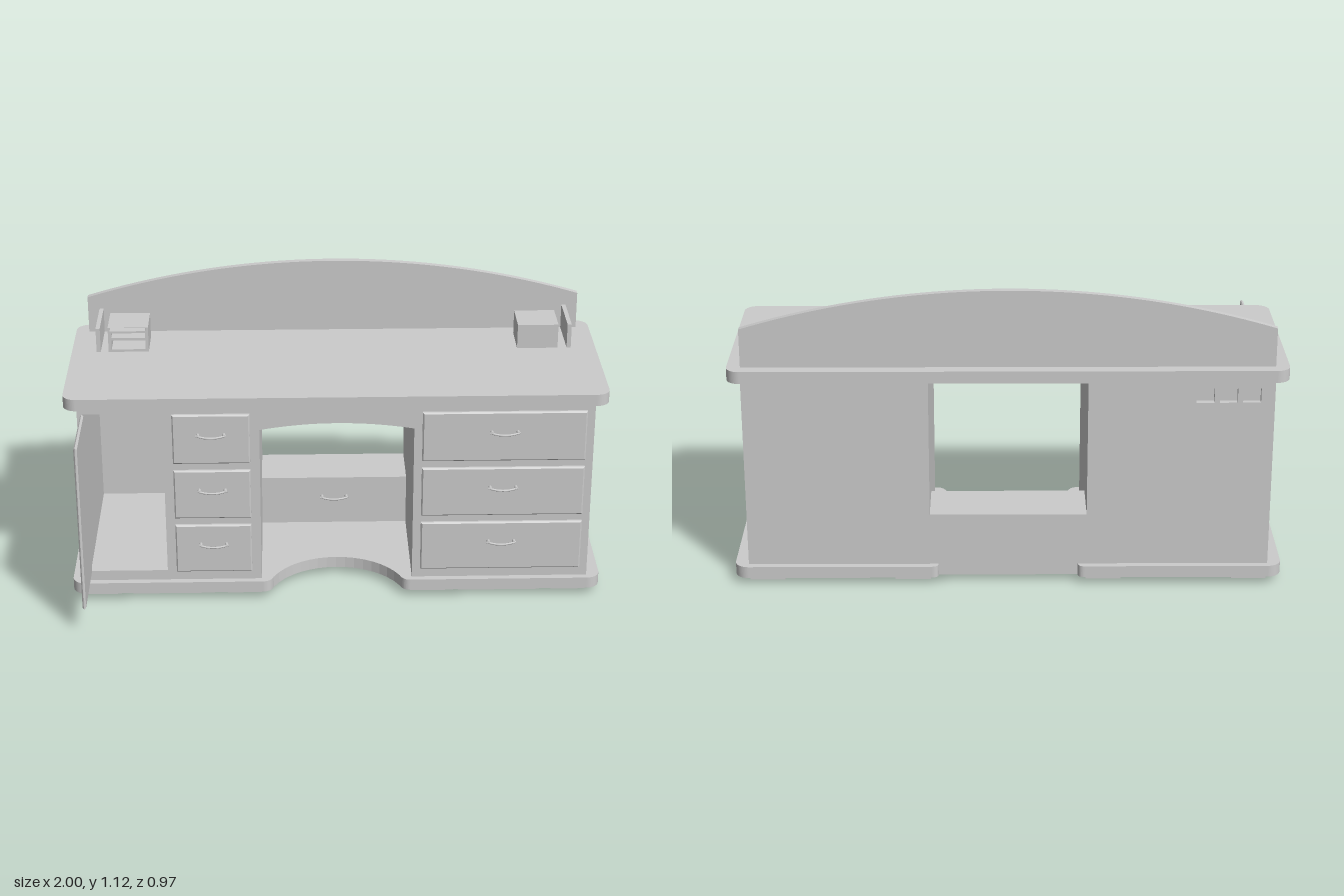
import * as THREE from 'three';

const material = new THREE.MeshStandardMaterial({ color: 0xcccccc, side: THREE.DoubleSide });

export function createModel() {
  const desk = new THREE.Group();
  desk.name = 'desk';

  const add = (name, geometry, parent = desk) => {
    const mesh = new THREE.Mesh(geometry, material);
    mesh.name = name;
    parent.add(mesh);
    return mesh;
  };
  // Box given by its limits on each axis
  const box = (name, x0, x1, y0, y1, z0, z1, parent) => {
    const g = new THREE.BoxGeometry(x1 - x0, y1 - y0, z1 - z0);
    g.translate((x0 + x1) / 2, (y0 + y1) / 2, (z0 + z1) / 2);
    return add(name, g, parent);
  };
  const extrude = (shape, depth, curveSegments = 16) =>
    new THREE.ExtrudeGeometry(shape, { depth, bevelEnabled: false, curveSegments });
  // Slab from a plan outline (outline y is -z), raised between two heights
  const slab = (name, shape, y0, y1) =>
    add(name, extrude(shape, y1 - y0).rotateX(-Math.PI / 2).translate(0, y0, 0));
  // Panel with a narrow chamfer around its face
  const panel = (name, w, h, t, parent) => {
    const c = 0.005, a = w / 2 - c, b = h / 2 - c;
    const s = new THREE.Shape([[-a, -b], [a, -b], [a, b], [-a, b]].map(p => new THREE.Vector2(...p)));
    const g = new THREE.ExtrudeGeometry(s, { depth: t - 2 * c, bevelSize: c, bevelThickness: c, bevelSegments: 1 });
    return add(name, g.translate(0, 0, c), parent);
  };
  // Bowed pull with two posts
  const handle = (x, y, z) => {
    const g = new THREE.Group();
    g.name = 'drawerHandle';
    g.position.set(x, y, z);
    const v = (a, b, c) => new THREE.Vector3(a, b, c);
    const curve = new THREE.CatmullRomCurve3([
      v(-0.055, 0.002, 0.015), v(-0.025, -0.003, 0.021), v(0, -0.004, 0.023), v(0.025, -0.003, 0.021), v(0.055, 0.002, 0.015)]);
    add('handleBow', new THREE.TubeGeometry(curve, 16, 0.004, 8), g);
    for (const s of [-1, 1]) {
      const post = add('handlePost', new THREE.CylinderGeometry(0.006, 0.006, 0.02, 10).rotateX(Math.PI / 2), g);
      post.position.set(s * 0.048, 0.001, 0.009);
    }
    desk.add(g);
  };

  // Table top with rounded corners
  const R = 0.05, F = -0.225, B = 0.485;
  const top = new THREE.Shape();
  top.moveTo(-1 + R, F);
  top.lineTo(1 - R, F);
  top.absarc(1 - R, F + R, R, -Math.PI / 2, 0);
  top.absarc(1 - R, B - R, R, 0, Math.PI / 2);
  top.absarc(-1 + R, B - R, R, Math.PI / 2, Math.PI);
  top.absarc(-1 + R, F + R, R, Math.PI, Math.PI * 1.5);
  slab('tableTop', top, 0.79, 0.835);

  // Plinth, curved in at the front and notched at the back
  const base = new THREE.Shape();
  base.moveTo(-1 + R, F);
  base.lineTo(-0.28, F);
  base.quadraticCurveTo(-0.25, F, -0.24, -0.19);
  base.bezierCurveTo(-0.14, 0.01, 0.14, 0.01, 0.24, -0.19);
  base.quadraticCurveTo(0.25, F, 0.28, F);
  base.lineTo(1 - R, F);
  base.absarc(1 - R, F + R, R, -Math.PI / 2, 0);
  base.absarc(1 - R, B - R, R, 0, Math.PI / 2);
  base.lineTo(0.28, B);
  base.quadraticCurveTo(0.255, B, 0.255, 0.46);
  base.lineTo(-0.255, 0.46);
  base.quadraticCurveTo(-0.255, B, -0.28, B);
  base.lineTo(-1 + R, B);
  base.absarc(-1 + R, B - R, R, Math.PI / 2, Math.PI);
  base.absarc(-1 + R, F + R, R, Math.PI, Math.PI * 1.5);
  slab('plinth', base, 0.028, 0.072);

  // L-shaped feet under each pedestal, plus a long front bar
  for (const s of [-1, 1]) {
    const foot = (name, a, b, z0, z1) =>
      box(name, Math.min(s * a, s * b), Math.max(s * a, s * b), 0, 0.03, z0, z1);
    for (const [a, dir] of [[0.285, 1], [0.95, -1]]) {
      for (const [z, dz] of [[0.18, -1], [-0.44, 1]]) {
        const span = d => [Math.min(z, z + dz * d), Math.max(z, z + dz * d)];
        foot('cornerFoot', a, a + dir * 0.13, ...span(0.03));
        foot('cornerFoot', a, a + dir * 0.03, ...span(0.13));
      }
    }
    foot('frontFoot', 0.465, 0.775, 0.15, 0.18);
  }

  // Pedestals: drawers on both, with an open cabinet at the outer right
  const zb = -0.46, zf = 0.2;
  box('leftPedestal', 0.285, 0.95, 0.07, 0.79, zb, zf);
  box('rightDrawerPedestal', -0.64, -0.285, 0.07, 0.79, zb, zf);
  box('cabinetSide', -0.95, -0.93, 0.07, 0.79, zb, zf);
  box('cabinetFloor', -0.93, -0.64, 0.07, 0.112, zb, zf);
  box('cabinetCeiling', -0.93, -0.64, 0.765, 0.79, zb, zf);

  // Cabinet back with three cable openings, closed by a strip inside
  const rect = (C, x0, x1, y0, y1) => {
    const p = new C();
    p.moveTo(x0, y0);
    p.lineTo(x1, y0);
    p.lineTo(x1, y1);
    p.lineTo(x0, y1);
    p.closePath();
    return p;
  };
  const back = rect(THREE.Shape, -0.93, -0.64, 0.112, 0.765);
  for (const x of [-0.868, -0.785, -0.702]) {
    back.holes.push(rect(THREE.Path, x - 0.032, x + 0.032, 0.705, 0.76));
    box('socketPlate', x - 0.032, x + 0.032, 0.705, 0.76, -0.43, -0.415);
  }
  add('cabinetBack', extrude(back, 0.02).translate(0, 0, zb));
  box('socketStrip', -0.93, -0.64, 0.7, 0.765, -0.44, -0.42);

  // Cabinet door, swung fully open
  const door = panel('cabinetDoor', 0.285, 0.653, 0.013);
  door.rotation.y = -Math.PI / 2;
  door.position.set(-0.925, 0.4385, 0.3445);

  // Drawer fronts and handles
  for (const [x, w] of [[-0.4625, 0.285], [0.6175, 0.605]]) {
    for (const y of [0.212, 0.439, 0.666]) {
      panel('drawerFront', w, 0.198, 0.018).position.set(x, y, zf);
      handle(x, y + 0.02, zf + 0.018);
    }
  }

  // Low drawer across the back of the kneehole
  box('kneeholeDrawer', -0.285, 0.285, 0.07, 0.27, zb, -0.25);
  handle(0, 0.188, -0.25);

  // Arched apron over the kneehole
  const apron = new THREE.Shape();
  apron.moveTo(-0.285, 0.79);
  apron.lineTo(-0.285, 0.695);
  apron.quadraticCurveTo(0, 0.745, 0.285, 0.695);
  apron.lineTo(0.285, 0.79);
  add('kneeholeApron', extrude(apron, 0.02).translate(0, 0, zf - 0.02));

  // Arched board along the back of the top
  const board = new THREE.Shape();
  const rise = 0.142, r = (0.95 * 0.95 + rise * rise) / (2 * rise), a = Math.asin(0.95 / r);
  board.moveTo(-0.95, 0.835);
  board.lineTo(0.95, 0.835);
  board.absarc(0, 1.12 - r, r, Math.PI / 2 - a, Math.PI / 2 + a);
  board.closePath();
  add('backBoard', extrude(board, 0.024, 40).translate(0, 0, -0.44));

  // Side fins and oval cable grommets
  for (const s of [-1, 1]) {
    box('sideFin', s * 0.898 - 0.008, s * 0.898 + 0.008, 0.835, 0.93, -0.416, -0.215);
    const grommet = add('cableGrommet', new THREE.CylinderGeometry(0.05, 0.05, 0.003, 24));
    grommet.scale.z = 0.28;
    grommet.position.set(s * 0.78, 0.836, -0.39);
  }

  // Closed box on the left
  box('leftBox', 0.7, 0.855, 0.835, 0.93, -0.36, -0.213);

  // Open box on the right with a shelf and a raised flap
  const x0 = -0.86, x1 = -0.707, z0 = -0.36, z1 = -0.213;
  box('rightBoxSide', x0, x0 + 0.012, 0.835, 0.93, z0, z1);
  box('rightBoxSide', x1 - 0.012, x1, 0.835, 0.93, z0, z1);
  box('rightBoxBack', x0, x1, 0.835, 0.93, z0, z0 + 0.012);
  box('rightBoxBottom', x0, x1, 0.835, 0.845, z0, z1);
  box('rightBoxShelf', x0, x1, 0.881, 0.892, z0, z1);
  box('rightBoxTop', x0, x1, 0.925, 0.934, z0, z1);
  box('rightBoxFlap', x0 + 0.01, x1 - 0.01, 0.925, 0.933, z1, -0.18);

  return desk;
}
